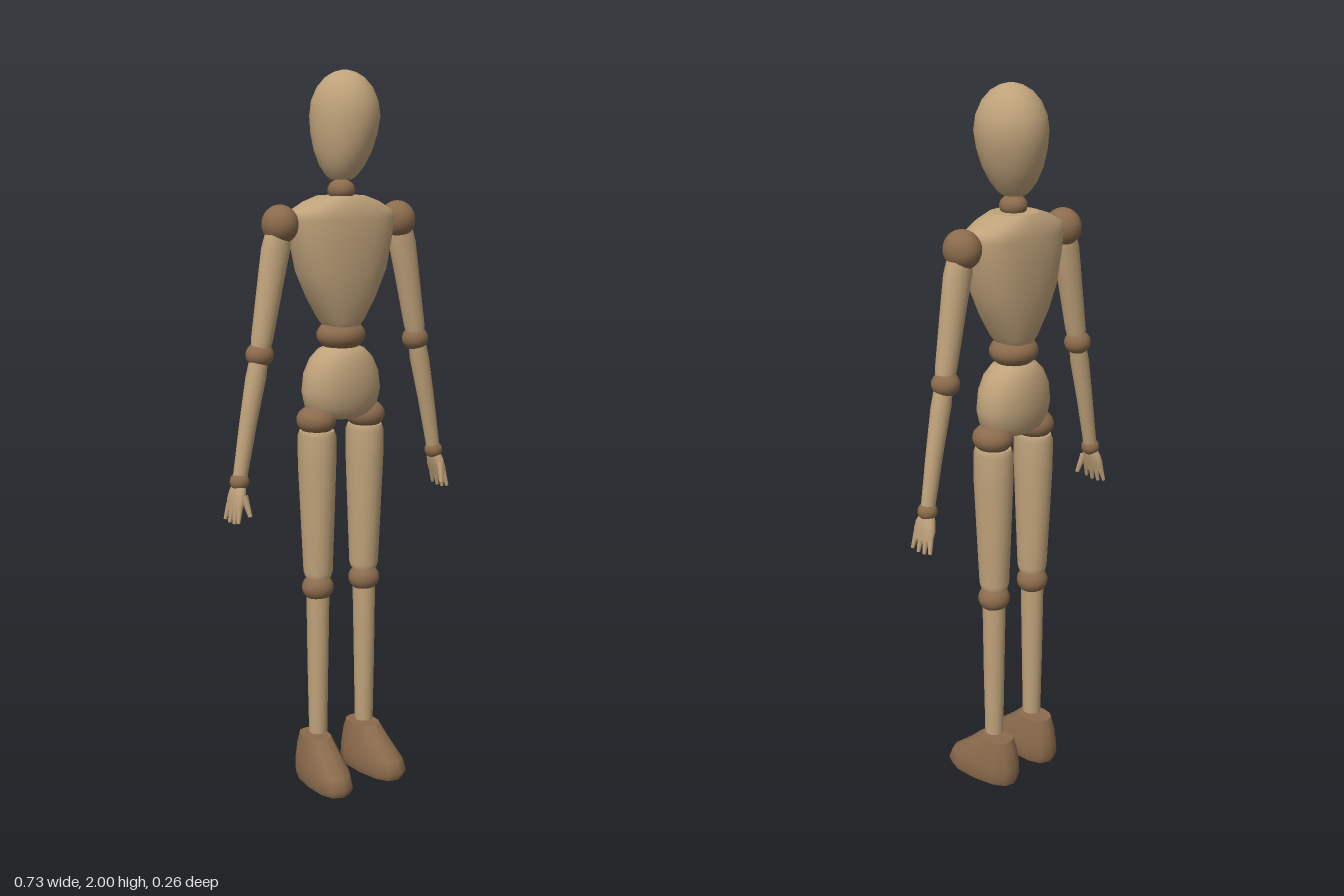
import * as THREE from 'three';

const lightWood = new THREE.MeshStandardMaterial({ color: 0xbfa27a });
lightWood.name = 'lightWood';
const darkWood = new THREE.MeshStandardMaterial({ color: 0x8b6b4c });
darkWood.name = 'darkWood';

// Skin through horizontal rings [y, rx, rz, cx, cz], listed bottom to top, with flat caps
function loft(rings, sides = 20, power = 2) {
  const pos = [], index = [];
  const bend = (v) => Math.sign(v) * Math.pow(Math.abs(v), 2 / power);
  const addRing = ([y, rx, rz, cx, cz]) => {
    const start = pos.length / 3;
    for (let i = 0; i < sides; i++) {
      const a = (i / sides) * Math.PI * 2;
      pos.push(cx + rx * bend(Math.sin(a)), y, cz + rz * bend(Math.cos(a)));
    }
    return start;
  };
  const starts = rings.map(addRing);
  for (let r = 0; r < starts.length - 1; r++) {
    for (let i = 0; i < sides; i++) {
      const j = (i + 1) % sides;
      const a = starts[r] + i, b = starts[r] + j, c = starts[r + 1] + j, d = starts[r + 1] + i;
      index.push(a, b, c, a, c, d);
    }
  }
  [rings[0], rings[rings.length - 1]].forEach((ring, k) => {
    const s = addRing(ring);
    for (let i = 1; i < sides - 1; i++) {
      if (k) index.push(s, s + i, s + i + 1);
      else index.push(s, s + i + 1, s + i);
    }
  });
  const g = new THREE.BufferGeometry();
  g.setAttribute('position', new THREE.Float32BufferAttribute(pos, 3));
  g.setIndex(index);
  g.computeVertexNormals();
  return g;
}

function part(parent, name, geometry, material) {
  const mesh = new THREE.Mesh(geometry, material);
  mesh.name = name;
  parent.add(mesh);
  return mesh;
}

// Ball joint with separate radii
function joint(parent, name, x, y, z, rx, ry = rx, rz = rx) {
  const mesh = part(parent, name, new THREE.SphereGeometry(1, 24, 16), darkWood);
  mesh.position.set(x, y, z);
  mesh.scale.set(rx, ry, rz);
  return mesh;
}

// Tapered rod between two points
function rod(parent, name, from, to, r0, r1, material) {
  const a = new THREE.Vector3(...from), b = new THREE.Vector3(...to);
  const dir = b.clone().sub(a);
  const mesh = part(parent, name, new THREE.CylinderGeometry(r1, r0, dir.length(), 8), material);
  mesh.position.copy(a).add(b).multiplyScalar(0.5);
  mesh.quaternion.setFromUnitVectors(new THREE.Vector3(0, 1, 0), dir.normalize());
  return mesh;
}

const Z = -0.027; // depth of the joint line

function buildArm(s) {
  const arm = new THREE.Group();
  arm.name = s > 0 ? 'leftArm' : 'rightArm';
  joint(arm, 'shoulderJoint', s * 0.196, 1.6, -0.029, 0.048, 0.052, 0.053);
  part(arm, 'upperArm', loft([
    [1.275, 0.026, 0.026, s * 0.262, Z], [1.3, 0.03, 0.029, s * 0.258, Z],
    [1.45, 0.037, 0.032, s * 0.229, Z], [1.54, 0.042, 0.033, s * 0.211, Z],
    [1.575, 0.036, 0.03, s * 0.205, Z]]), lightWood);
  joint(arm, 'elbowJoint', s * 0.264, 1.26, -0.03, 0.038, 0.034, 0.038);
  part(arm, 'forearm', loft([
    [0.935, 0.02, 0.019, s * 0.333, Z], [1.08, 0.025, 0.022, s * 0.305, Z],
    [1.2, 0.029, 0.026, s * 0.279, Z], [1.245, 0.026, 0.024, s * 0.27, Z]]), lightWood);
  joint(arm, 'wristJoint', s * 0.335, 0.925, Z, 0.026, 0.025, 0.027);
  // Hand: palm, four fingers and a thumb
  part(arm, 'palm', loft([
    [0.85, 0.011, 0.033, s * 0.352, Z], [0.875, 0.015, 0.036, s * 0.347, Z],
    [0.9, 0.018, 0.029, s * 0.341, Z], [0.92, 0.015, 0.018, s * 0.336, Z]], 14, 2.4), lightWood);
  for (let i = 0; i < 4; i++) {
    const t = i - 1.5;
    const tipY = 0.811 + 0.005 * Math.abs(t);
    rod(arm, 'finger', [s * 0.351, 0.862, Z + t * 0.017], [s * 0.361, tipY, Z + t * 0.022],
      0.0095, 0.005, lightWood);
  }
  rod(arm, 'thumb', [s * 0.338, 0.89, 0], [s * 0.33, 0.835, 0.017], 0.011, 0.006, lightWood);
  return arm;
}

function buildLeg(s) {
  const leg = new THREE.Group();
  leg.name = s > 0 ? 'leftLeg' : 'rightLeg';
  joint(leg, 'hipJoint', s * 0.084, 1.063, Z, 0.054, 0.042, 0.058);
  part(leg, 'thigh', loft([
    [0.615, 0.036, 0.04, s * 0.08, Z], [0.63, 0.04, 0.044, s * 0.08, Z],
    [0.8, 0.046, 0.052, s * 0.081, Z], [0.94, 0.051, 0.058, s * 0.082, Z],
    [1.02, 0.051, 0.058, s * 0.082, Z], [1.035, 0.046, 0.052, s * 0.082, Z]]), lightWood);
  joint(leg, 'kneeJoint', s * 0.081, 0.582, Z, 0.045, 0.039, 0.045);
  part(leg, 'shin', loft([
    [0.148, 0.026, 0.027, s * 0.082, Z], [0.35, 0.029, 0.031, s * 0.082, Z],
    [0.56, 0.032, 0.034, s * 0.081, Z]]), lightWood);
  // Wedge foot turned slightly outward
  const foot = part(leg, 'foot', loft([
    [0, 0.05, 0.112, 0, 0.034], [0.022, 0.057, 0.121, 0, 0.036],
    [0.055, 0.055, 0.113, 0, 0.03], [0.1, 0.047, 0.08, 0, 0.004],
    [0.136, 0.039, 0.054, 0, -0.01]], 12, 2.5), darkWood);
  foot.position.set(s * 0.086, 0, Z);
  foot.rotation.y = s * 0.08;
  return leg;
}

export function createModel() {
  const model = new THREE.Group();
  model.name = 'jointedWoodenFigure';

  // Egg-shaped head, leaning slightly to one side
  const head = [];
  const profile = [[1.713, 0.028], [1.722, 0.04], [1.75, 0.06], [1.79, 0.077], [1.835, 0.088],
    [1.88, 0.093], [1.92, 0.088], [1.955, 0.073], [1.98, 0.052], [1.994, 0.029], [2, 0.006]];
  for (const [y, r] of profile) {
    const lean = Math.min(1, (y - 1.7) / 0.17);
    head.push([y, r, r * 1.09, 0.018 * lean, Z - 0.007 * lean]);
  }
  part(model, 'head', loft(head, 24), lightWood);
  joint(model, 'neckJoint', 0, 1.685, -0.025, 0.037, 0.03, 0.038);

  // Chest narrowing to the waist
  part(model, 'chest', loft([
    [1.315, 0.045, 0.05, 0, Z], [1.34, 0.064, 0.062, 0, Z], [1.4, 0.1, 0.077, 0, Z],
    [1.47, 0.134, 0.086, 0, Z], [1.55, 0.153, 0.089, 0, Z], [1.61, 0.165, 0.086, 0, Z],
    [1.632, 0.155, 0.081, 0, Z], [1.655, 0.11, 0.073, 0, Z], [1.67, 0.065, 0.06, 0, Z]],
  24, 2.4), lightWood);
  joint(model, 'waistJoint', 0, 1.293, Z, 0.069, 0.044, 0.066);

  // Rounded pelvis
  part(model, 'pelvis', loft([
    [1.064, 0.06, 0.045, 0, Z], [1.075, 0.092, 0.06, 0, Z], [1.1, 0.112, 0.072, 0, Z],
    [1.14, 0.121, 0.078, 0, Z], [1.19, 0.114, 0.077, 0, Z], [1.23, 0.094, 0.068, 0, Z],
    [1.255, 0.068, 0.054, 0, Z], [1.264, 0.04, 0.035, 0, Z]], 24, 2.1), lightWood);

  for (const s of [-1, 1]) model.add(buildArm(s), buildLeg(s));
  return model;
}
